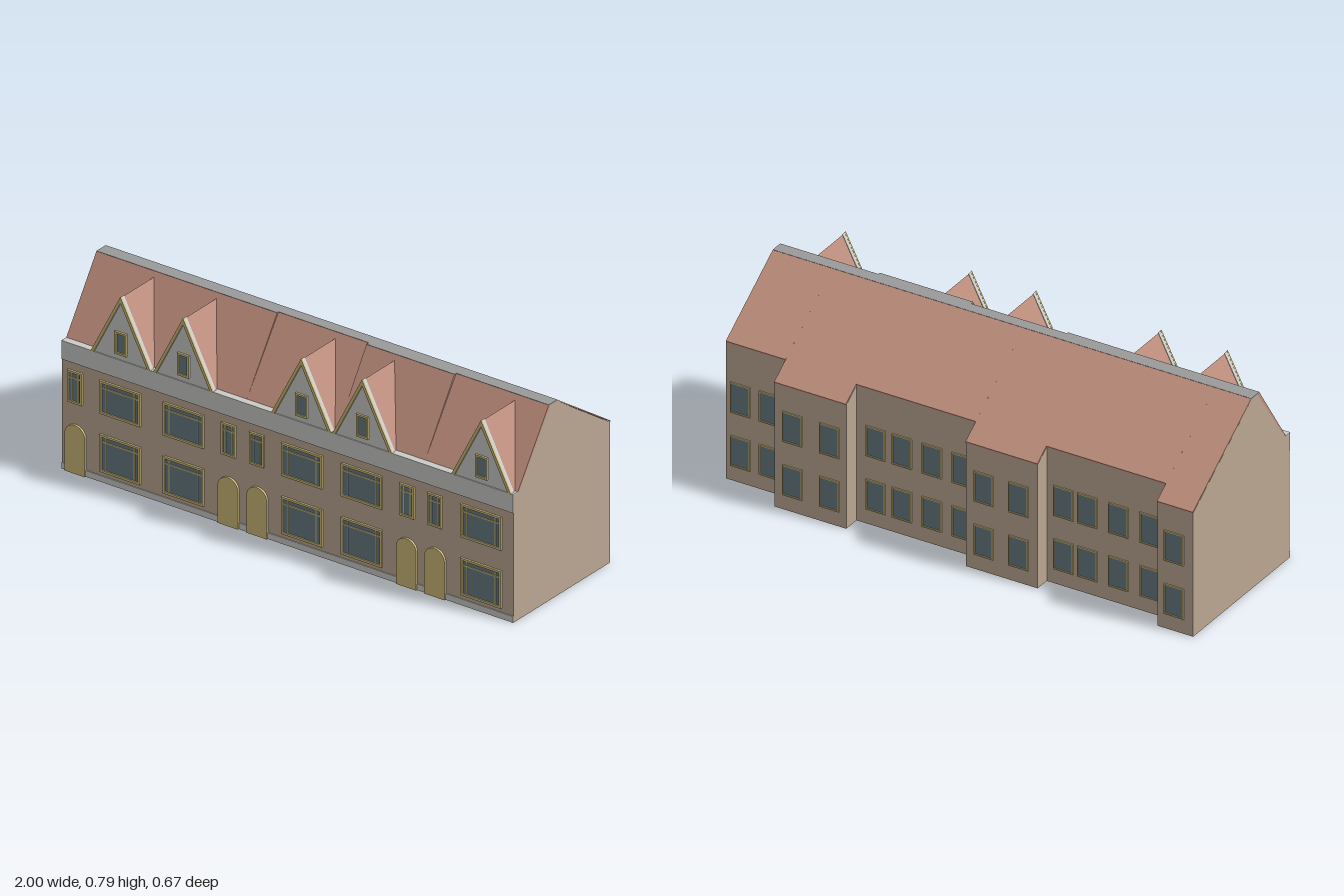
import * as THREE from 'three';

const paint = (name, color) => new THREE.MeshStandardMaterial({ name, color });

export function createModel() {
  const root = new THREE.Group();
  root.name = 'terracedHouses';
  const brick = paint('tan brick', 0xbba692);
  const tile = paint('red roof tile', 0xbd8d7c);
  const plaster = paint('pale plaster', 0xcacac6);
  const lead = paint('grey ridge', 0x999a99);
  const glass = paint('blue grey glass', 0x677980);
  const yellow = paint('yellow woodwork', 0xcbb978);

  const add = (parent, name, geo, mat) => {
    const m = new THREE.Mesh(geo, mat);
    m.name = name;
    parent.add(m);
    return m;
  };
  const group = (name, parent = root) => {
    const g = new THREE.Group();
    g.name = name;
    parent.add(g);
    return g;
  };
  const box = (parent, name, mat, x0, x1, y0, y1, z0, z1) => {
    const m = add(parent, name, new THREE.BoxGeometry(x1 - x0, y1 - y0, z1 - z0), mat);
    m.position.set((x0 + x1) / 2, (y0 + y1) / 2, (z0 + z1) / 2);
    return m;
  };
  const poly = (pts) => new THREE.Shape(pts.map(([x, y]) => new THREE.Vector2(x, y)));
  const slab = (shape, depth) =>
    new THREE.ExtrudeGeometry(shape, { depth, bevelEnabled: false, curveSegments: 8 });
  // Cross-section given as [z, y], swept from x0 to x1
  const sweep = (parent, name, mat, pts, x0, x1) => {
    const geo = slab(poly(pts.map(([z, y]) => [-z, y])), x1 - x0);
    geo.rotateY(Math.PI / 2).translate(x0, 0, 0);
    return add(parent, name, geo, mat);
  };

  // Walls and rear roof: the rear steps in and out along the terrace
  const FRONT = 0.325;
  const backSlope = (z) => 0.785 - (0.065 - z) * 0.6835;
  const bays = [
    { x0: -1, x1: -0.85, z: -0.33, windows: [-0.92] },
    { x0: -0.85, x1: -0.35, z: -0.268, windows: [-0.78, -0.65, -0.52, -0.42] },
    { x0: -0.35, x1: -0.05, z: -0.33, windows: [-0.125, -0.27] },
    { x0: -0.05, x1: 0.45, z: -0.26, windows: [0.01, 0.135, 0.26, 0.37] },
    { x0: 0.45, x1: 0.75, z: -0.33, windows: [0.52, 0.675] },
    { x0: 0.75, x1: 1, z: -0.252, windows: [0.82, 0.94] },
  ];
  bays[5].z = -0.252;
  for (const b of bays) {
    const y = backSlope(b.z);
    sweep(root, 'walls', brick, [
      [FRONT, 0], [FRONT, 0.511], [0.295, 0.511], [0.107, 0.78], [0.064, 0.78],
      [b.z, y - 0.005], [b.z, 0],
    ], b.x0, b.x1);
    sweep(root, 'rearRoof', tile, [
      [0.064, 0.78], [0.064, 0.785], [b.z - 0.003, y], [b.z - 0.003, y - 0.005],
    ], b.x0, b.x1);
  }

  // Front roof and ridge cap, slightly stepped from house to house
  const houses = [[-1, -0.2, 0.119], [-0.2, 0.2, 0.111], [0.2, 0.59, 0.125], [0.59, 1, 0.115]];
  for (const [x0, x1, z] of houses) {
    sweep(root, 'frontRoof', tile,
      [[0.302, 0.511], [z, 0.785], [z - 0.003, 0.78], [0.107, 0.78], [0.295, 0.511]], x0, x1);
    sweep(root, 'ridgeCap', lead,
      [[z, 0.786], [0.064, 0.786], [0.064, 0.78], [z - 0.003, 0.78]], x0, x1);
  }

  // Front band, ledge and plinth
  box(root, 'corniceBand', plaster, -1, 1, 0.44, 0.515, FRONT, 0.329);
  box(root, 'ledge', plaster, -1, 1, 0.511, 0.515, 0.3, FRONT);
  box(root, 'plinth', plaster, -1, 1, 0, 0.025, FRONT, 0.328);

  // Window facing +z, centred on x, sitting on its group's z = 0 plane
  const addWindow = (parent, x, y0, y1, w, trim, bars) => {
    const g = group('window', parent);
    g.position.x = x;
    const h = w / 2;
    box(g, 'pane', glass, -h + trim, h - trim, y0 + trim, y1 - trim, 0, 0.003);
    const frame = poly([[-h, y0], [h, y0], [h, y1], [-h, y1]]);
    const i = h - trim;
    frame.holes.push(poly([[-i, y0 + trim], [-i, y1 - trim], [i, y1 - trim], [i, y0 + trim]]));
    add(g, 'frame', slab(frame, 0.008), yellow);
    if (bars) {
      const t = y1 - 0.028;
      box(g, 'transom', yellow, -i, i, t - 0.0025, t + 0.0025, 0.003, 0.006);
      for (const s of bars)
        box(g, 'mullion', yellow, s * h - 0.002, s * h + 0.002, y0 + trim, y1 - trim, 0.003, 0.0055);
    }
    return g;
  };

  // Front windows
  const front = group('frontWindows');
  front.position.z = FRONT;
  for (const x of [-0.74, -0.46, 0.065, 0.33, 0.858]) {
    addWindow(front, x, 0.275, 0.408, 0.18, 0.009, [-0.7, 0.7]);
    addWindow(front, x, 0.042, 0.192, 0.18, 0.009, [-0.7, 0.7]);
  }
  for (const x of [-0.94, -0.26, -0.135, 0.53, 0.653])
    addWindow(front, x, 0.28, 0.408, 0.064, 0.008, [-0.45, 0.45]);

  // Rear windows, turned to face -z
  for (const b of bays) {
    const rear = group('rearWindows');
    rear.position.z = b.z;
    rear.rotation.y = Math.PI;
    for (const x of b.windows)
      for (const y of [0.06, 0.28]) {
        const g = addWindow(rear, -x, y, y + 0.125, 0.082, 0.005);
        g.scale.z = 0.6;
      }
  }

  // Arched doors
  const arch = new THREE.Shape();
  arch.moveTo(-0.045, 0);
  arch.lineTo(0.045, 0);
  arch.lineTo(0.045, 0.15);
  arch.absarc(0, 0.15, 0.045, 0, Math.PI, false);
  for (const x of [-0.938, -0.26, -0.132, 0.53, 0.655])
    add(root, 'door', slab(arch, 0.009), yellow).position.set(x, 0, FRONT);

  // Dormers: tiled prism, plaster gable, yellow barge boards and a window
  const tri = (w, y0, y1) => poly([[-w, y0], [w, y0], [0, y1]]);
  const barge = poly([[-0.132, 0.515], [-0.119, 0.515], [0, 0.746], [0.119, 0.515],
    [0.132, 0.515], [0, 0.771]]);
  for (const x of [-0.737, -0.46, 0.063, 0.333, 0.86]) {
    const d = group('dormer');
    d.position.x = x;
    add(d, 'dormerRoof', slab(tri(0.128, 0.513, 0.767), 0.182), tile).position.z = 0.128;
    add(d, 'dormerGable', slab(tri(0.131, 0.515, 0.77), 0.015), plaster).position.z = 0.31;
    add(d, 'bargeBoards', slab(barge, 0.007), yellow).position.z = FRONT;
    addWindow(d, 0, 0.537, 0.627, 0.052, 0.008).position.z = FRONT;
  }
  return root;
}
